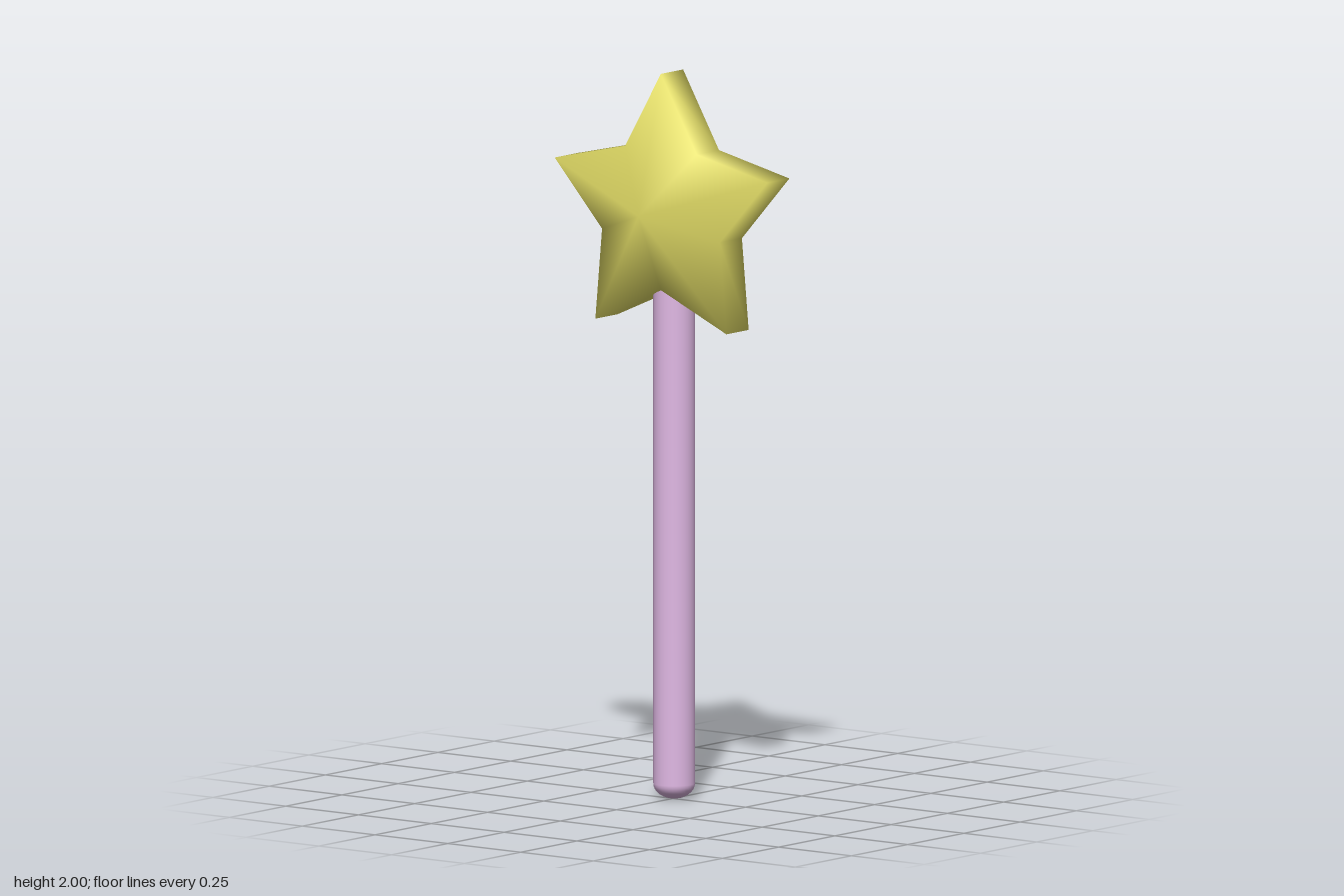
import * as THREE from 'three';

// Faceted five-pointed star: two apexes joined to a front and a back rim
function starGeometry() {
  const half = [[0, 2], [0.123, 1.79], [0.365, 1.735], [0.202, 1.555], [0.225, 1.305], [0, 1.405]];
  const rim = [...half, ...half.slice(1, 5).reverse().map(([x, y]) => [-x, y])]; // clockwise from the top
  const n = rim.length;
  const pos = [];
  for (const z of [0.053, -0.046]) rim.forEach(([x, y]) => pos.push(x, y, z));
  pos.push(0, 1.62, 0.153, 0, 1.62, -0.155);
  const front = 2 * n, back = front + 1;
  const index = [];
  for (let i = 0; i < n; i++) {
    const j = (i + 1) % n;
    index.push(front, j, i, back, n + i, n + j); // sloping faces
    index.push(i, j, n + j, i, n + j, n + i); // rim wall
  }
  const g = new THREE.BufferGeometry();
  g.setAttribute('position', new THREE.Float32BufferAttribute(pos, 3));
  g.setIndex(index);
  g.computeVertexNormals();
  return g;
}

// Round stick with domed ends
function stickGeometry(radius, top, dome) {
  const pts = [];
  const steps = 8;
  for (let i = 0; i <= steps; i++) {
    const a = (i / steps) * Math.PI / 2;
    pts.push(new THREE.Vector2(radius * Math.sin(a), dome * (1 - Math.cos(a))));
  }
  const upper = pts.map(p => new THREE.Vector2(p.x, top - p.y)).reverse();
  return new THREE.LatheGeometry([...pts, ...upper], 32);
}

export function createModel() {
  const group = new THREE.Group();
  group.name = 'starWand';

  const star = new THREE.Mesh(starGeometry(),
    new THREE.MeshStandardMaterial({ color: 0xe6e068 }));
  star.name = 'star';

  const stick = new THREE.Mesh(stickGeometry(0.057, 1.5, 0.042),
    new THREE.MeshStandardMaterial({ color: 0xe0b8e4 }));
  stick.name = 'stick';
  stick.position.z = -0.006;

  group.add(star, stick);
  return group;
}
